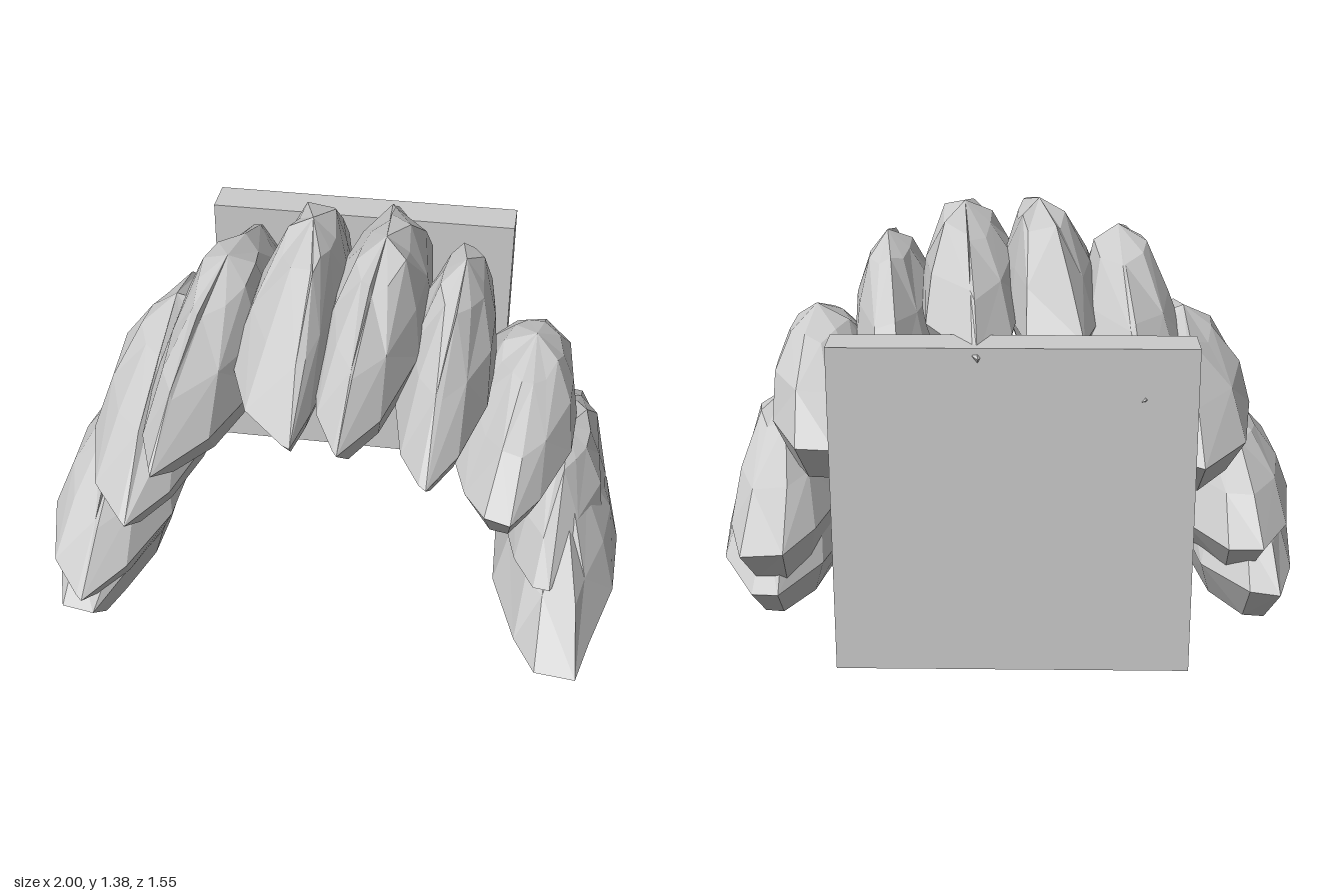
import * as THREE from 'three';

// Outline of a boulder seen from above, from the front round the +x side and back.
// The two corners at each end are drawn together by the rock's own end widths.
const PLAN = [
  [1, 1], [0.56, 0.74], [0.95, 0.3], [1, -0.12], [0.8, -0.6], [1, -0.98],
  [-1, -1], [-0.74, -0.66], [-1, -0.14], [-0.95, 0.32], [-0.58, 0.74], [-1, 0.97],
];

// Rings from base to crown: height (0 belt, 1 top), width scale, length scale, jitter
const RINGS = [
  { base: true, w: 0.72, l: 0.74, j: 0 },
  { h: 0, w: 1, l: 1, j: 0 },
  { h: 0.42, w: 0.81, l: 0.7, j: 0.07 },
  { h: 0.82, w: 0.46, l: 0.34, j: 0.1 },
];

// One boulder per row: belt extents in x and z, heights of base, belt and top,
// peak position, then [x, width] of the front tip and of the back tail
const ROCKS = [
  { name: 'rightFootRock', x: [-1, -0.62], y: [0.03, 0.19, 0.46], z: [-0.6, 0.67], peak: [-0.82, 0], tip: [-0.82, 0.3], tail: [-0.85, 0.25] },
  { name: 'rightLowerRock', x: [-1, -0.56], y: [0.2, 0.34, 0.64], z: [-0.6, 0.77], peak: [-0.77, 0.02], tip: [-0.77, 0.05], tail: [-0.78, 0.25] },
  { name: 'rightMiddleRock', x: [-0.84, -0.4], y: [0.52, 0.67, 1.02], z: [-0.71, 0.75], peak: [-0.6, -0.08], tip: [-0.6, 0.05], tail: [-0.61, 0.06] },
  { name: 'rightShoulderRock', x: [-0.61, -0.23], y: [0.76, 0.9, 1.27], z: [-0.77, 0.77], peak: [-0.38, 0.05], tip: [-0.49, 0.04], tail: [-0.42, 0.05] },
  { name: 'rightCrownRock', x: [-0.34, 0.02], y: [0.88, 1.03, 1.38], z: [-0.58, 0.73], peak: [-0.11, -0.05], tip: [-0.06, 0.05], tail: [-0.16, 0.5] },
  { name: 'leftCrownRock', x: [-0.06, 0.29], y: [0.88, 1.05, 1.36], z: [-0.78, 0.77], peak: [0.14, 0], tip: [0.09, 0.05], tail: [0.08, 0.04] },
  { name: 'leftShoulderRock', x: [0.2, 0.52], y: [0.76, 0.9, 1.27], z: [-0.63, 0.71], peak: [0.4, -0.05], tip: [0.35, 0.08], tail: [0.36, 0.25] },
  { name: 'leftMiddleRock', x: [0.38, 0.81], y: [0.52, 0.68, 1.01], z: [-0.58, 0.58], peak: [0.65, -0.04], tip: [0.58, 0.2], tail: [0.6, 0.3] },
  { name: 'leftLowerRock', x: [0.57, 0.94], y: [0.2, 0.35, 0.68], z: [-0.68, 0.5], peak: [0.78, 0.02], tip: [0.74, 0.15], tail: [0.77, 0.38] },
  { name: 'leftFootRock', x: [0.56, 1], y: [0.03, 0.18, 0.56], z: [-0.6, 0.73], peak: [0.77, 0.08], tip: [0.81, 0.3], tail: [0.78, 0.2] },
];

function seeded(seed) {
  let s = seed * 7919 + 17;
  return () => {
    s = (s * 16807) % 2147483647;
    return (s / 2147483647) * 2 - 1;
  };
}

// Faceted boulder: flat base, overhanging belt, tapering crown
function rockGeometry({ x, y, z, peak, tip, tail }, seed) {
  const rand = seeded(seed);
  const [cx, cz] = [(x[0] + x[1]) / 2, (z[0] + z[1]) / 2];
  const [rx, rz] = [(x[1] - x[0]) / 2, (z[1] - z[0]) / 2];
  const rise = y[2] - y[1];
  const bend = PLAN.map(() => rand() * 0.012);

  const rings = RINGS.map(({ base, h = 0, w, l, j }) => PLAN.map(([u, v], i) => {
    const [endX, endWidth] = v > 0 ? tip : tail;
    const skew = (endX - cx) * Math.pow(Math.abs(v), 3);
    const side = u * rx * (Math.abs(v) > 0.9 ? endWidth : 1);
    const px = cx + (peak[0] - cx) * h + (side + skew) * w * (1 + rand() * j);
    const pz = cz + (peak[1] - cz) * h + v * rz * l * (1 + rand() * j);
    const py = base ? y[0] : y[1] + rise * h * (1 + rand() * j) + bend[i];
    return new THREE.Vector3(px, py, pz);
  }));

  const bottom = new THREE.Vector3(cx, y[0], cz);
  const top = new THREE.Vector3(peak[0], y[2], peak[1]);
  const points = [];
  const n = PLAN.length;
  for (let i = 0; i < n; i++) {
    const k = (i + 1) % n;
    points.push(rings[0][k], rings[0][i], bottom);
    for (let r = 0; r < rings.length - 1; r++) {
      const [a, b, c, d] = [rings[r][i], rings[r][k], rings[r + 1][k], rings[r + 1][i]];
      if ((i + r) % 2) points.push(a, b, c, a, c, d);
      else points.push(a, b, d, b, c, d);
    }
    const last = rings[rings.length - 1];
    points.push(last[i], last[k], top);
  }
  // Unshared corners keep every facet flat
  const geometry = new THREE.BufferGeometry().setFromPoints(points);
  geometry.computeVertexNormals();
  return geometry;
}

export function createModel() {
  const model = new THREE.Group();
  model.name = 'rockArch';
  const stone = new THREE.MeshStandardMaterial({ color: 0xcccccc });
  stone.name = 'paleGreyStone';

  // Arch of boulders
  const arch = new THREE.Group();
  arch.name = 'boulders';
  ROCKS.forEach((rock, i) => {
    const mesh = new THREE.Mesh(rockGeometry(rock, i + 1), stone);
    mesh.name = rock.name;
    arch.add(mesh);
  });
  model.add(arch);

  // Slab closing the back of the arch
  const slab = new THREE.Mesh(new THREE.BoxGeometry(1.12, 1.07, 0.14), stone);
  slab.name = 'backSlab';
  slab.position.set(-0.03, 0.535, -0.69);
  model.add(slab);

  return model;
}
